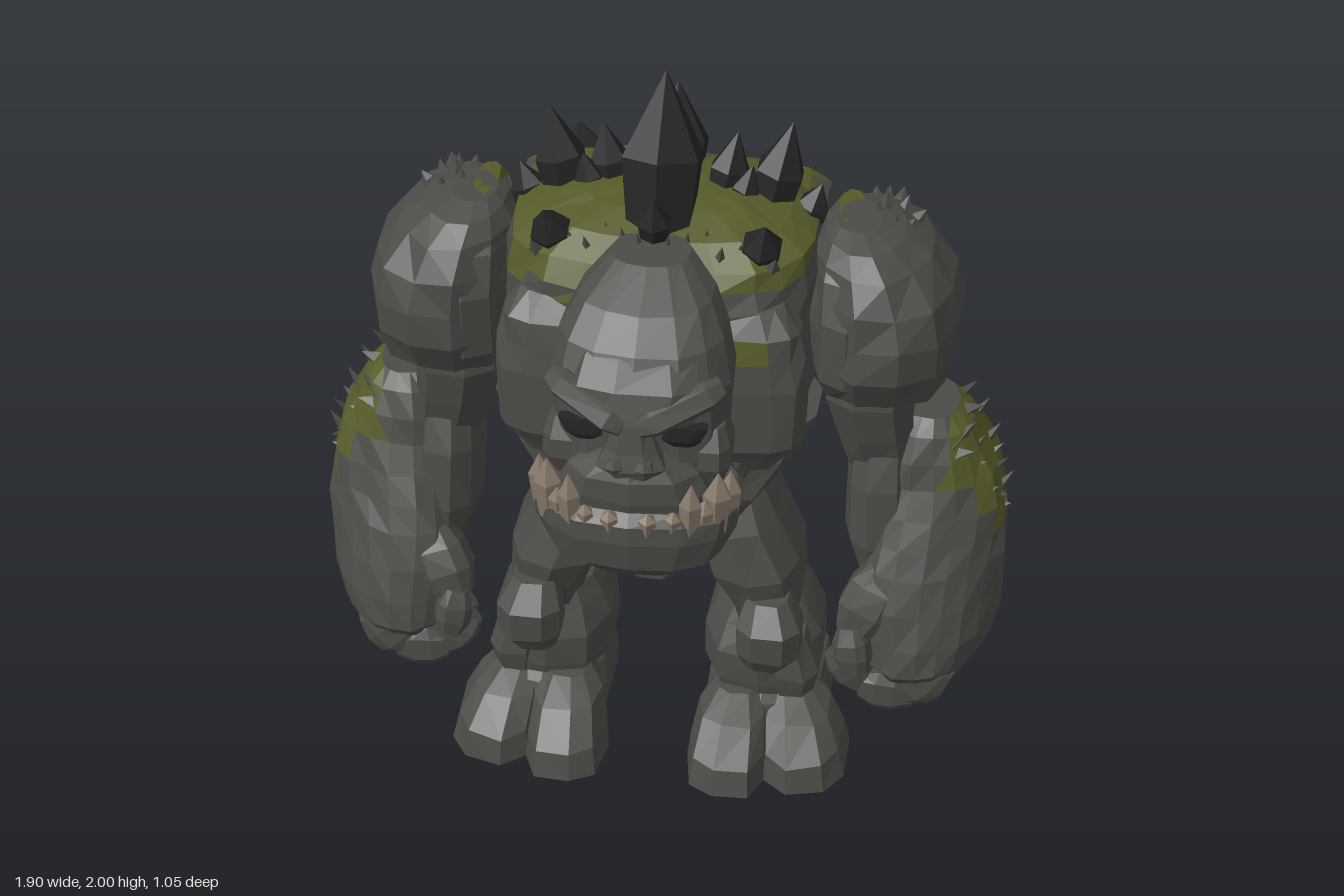
import * as THREE from 'three';

const material = (name, color) => {
  const m = new THREE.MeshStandardMaterial({ color });
  m.name = name;
  return m;
};

export function createModel() {
  const stone = material('stone', 0x4b4c47);
  const moss = material('moss', 0x575a28);
  const crystal = material('dark crystal', 0x242425);
  const bone = material('tooth', 0x867768);
  const shade = material('eye shadow', 0x242423);
  const root = new THREE.Group();
  root.name = 'stoneGolem';

  let seed = 11;
  const rnd = () => ((seed = (seed * 16807) % 2147483647) / 2147483647) * 2 - 1;
  const flat = (g) => {
    const f = g.index ? g.toNonIndexed() : g;
    f.computeVertexNormals();
    return f;
  };

  // Faceted boulder from level rings [x, y, z, rx, rz], listed bottom to top
  function rock(rings, n = 9, e = 0.77, rough = 0.045) {
    const pos = [], idx = [];
    const pw = (v) => Math.sign(v) * Math.abs(v) ** e;
    rings.forEach(([x, y, z, rx, rz], k) => {
      for (let i = 0; i < n; i++) {
        const a = ((i + 0.5) / n) * Math.PI * 2, j = 1 + rnd() * rough;
        const end = k === 0 || k === rings.length - 1;
        const dy = end ? 0 : rnd() * rough * Math.min(rx, rz);
        pos.push(x + rx * pw(Math.cos(a)) * j, y + dy, z + rz * pw(Math.sin(a)) * j);
      }
    });
    const last = rings.length - 1, c0 = rings.length * n;
    pos.push(...rings[0].slice(0, 3), ...rings[last].slice(0, 3));
    for (let i = 0; i < n; i++) {
      const j = (i + 1) % n;
      for (let k = 0; k < last; k++) {
        const a = k * n + i, b = k * n + j;
        idx.push(a, a + n, b, b, a + n, b + n);
      }
      idx.push(c0, i, j, c0 + 1, last * n + j, last * n + i);
    }
    const g = new THREE.BufferGeometry();
    g.setAttribute('position', new THREE.Float32BufferAttribute(pos, 3));
    g.setIndex(idx);
    return flat(g);
  }

  // Move a geometry that points along +y from the origin so it runs from p towards q
  function aim(g, p, q) {
    const d = new THREE.Vector3(...q).sub(new THREE.Vector3(...p)).normalize();
    g.applyQuaternion(new THREE.Quaternion().setFromUnitVectors(new THREE.Vector3(0, 1, 0), d));
    g.translate(...p);
    return flat(g);
  }
  const dist = (p, q) => Math.hypot(q[0] - p[0], q[1] - p[1], q[2] - p[2]);
  // Blocky bar with bevelled ends
  const bar = (p, q, r, r2 = r) => {
    const L = dist(p, q), b = Math.min(r * 0.5, L * 0.25);
    return aim(rock([[0, -b, 0, r * 0.65, r2 * 0.65], [0, b, 0, r, r2],
      [0, L - b, 0, r, r2], [0, L + b, 0, r * 0.65, r2 * 0.65]], 8, 0.65), p, q);
  };
  // Pointed prism
  const shard = (p, q, r, n = 6) => {
    const L = dist(p, q);
    const pts = [[0, -0.05], [r * 0.75, -0.05], [r, L * 0.48], [0, L]];
    return aim(new THREE.LatheGeometry(pts.map((v) => new THREE.Vector2(...v)), n), p, q);
  };
  const spike = (p, q, r) => {
    const L = dist(p, q);
    return aim(new THREE.ConeGeometry(r, L, 4).translate(0, L / 2, 0), p, q);
  };
  // Bend the front of the lower arm inwards
  function toeIn(g) {
    const p = g.attributes.position;
    for (let i = 0; i < p.count; i++) p.setX(i, p.getX(i) - 0.35 * Math.max(0, p.getZ(i) + 0.1));
    return flat(g);
  }

  // Give the faces chosen by test(x, y, z) the moss material
  function mossy(g, test) {
    const p = g.attributes.position;
    for (let i = 0; i < p.count; i += 3) {
      const c = ['getX', 'getY', 'getZ'].map((f) => (p[f](i) + p[f](i + 1) + p[f](i + 2)) / 3);
      const m = test(...c) ? 1 : 0, run = g.groups.at(-1);
      if (run && run.materialIndex === m) run.count += 3;
      else g.addGroup(i, 3, m);
    }
    return g;
  }
  function mirror(g) {
    const m = g.clone(), p = m.attributes.position;
    for (let i = 0; i < p.count; i += 3) {
      const v = [0, 2, 1].map((k) => new THREE.Vector3().fromBufferAttribute(p, i + k));
      v.forEach((u, k) => p.setXYZ(i + k, -u.x, u.y, u.z));
    }
    m.computeVertexNormals();
    return m;
  }
  function add(name, g, mat = stone) {
    const mesh = new THREE.Mesh(g, g.groups.length > 1 ? [stone, moss] : mat);
    mesh.name = name;
    root.add(mesh);
  }
  function pair(name, g, mat) {
    add(name + 'Left', g, mat);
    add(name + 'Right', mirror(g), mat);
  }

  // Torso, mossy over the top and down the middle of each back slab
  const torsoMoss = (x, y, z) => {
    const w = 0.03 * Math.sin(x * 23 + z * 17), ax = Math.abs(x);
    if (z < -0.26) return ax > 0.05 && ax < 0.38 && y > 1.36 + w + Math.abs(ax - 0.2) * 0.8;
    return y > 1.51 + w && ax < 0.385;
  };
  add('torso', mossy(rock([[0, 0.58, 0.05, 0.07, 0.07], [0, 0.68, -0.03, 0.18, 0.15],
    [0, 0.8, -0.05, 0.24, 0.2], [0, 0.93, -0.07, 0.28, 0.28], [0, 1.05, -0.1, 0.37, 0.3],
    [0, 1.2, -0.13, 0.405, 0.33], [0, 1.38, -0.16, 0.41, 0.33], [0, 1.48, -0.16, 0.41, 0.32],
    [0, 1.53, -0.16, 0.405, 0.31], [0, 1.58, -0.16, 0.39, 0.28], [0, 1.63, -0.17, 0.32, 0.22],
    [0, 1.66, -0.17, 0.21, 0.13], [0, 1.67, -0.17, 0.1, 0.06]], 22, 0.68, 0.028), torsoMoss));
  pair('backSlab', mossy(rock([[0.16, 1.0, -0.33, 0.08, 0.06], [0.19, 1.09, -0.35, 0.15, 0.11],
    [0.215, 1.2, -0.36, 0.2, 0.14], [0.22, 1.32, -0.37, 0.215, 0.152], [0.22, 1.42, -0.37, 0.215, 0.145],
    [0.22, 1.5, -0.365, 0.21, 0.135], [0.215, 1.56, -0.355, 0.19, 0.12], [0.21, 1.6, -0.335, 0.15, 0.09],
    [0.2, 1.625, -0.32, 0.08, 0.05]], 16, 0.72), torsoMoss));
  pair('lowerBackSlab', rock([[0.13, 0.82, -0.2, 0.08, 0.07], [0.15, 0.92, -0.25, 0.14, 0.12],
    [0.19, 1.03, -0.28, 0.17, 0.13], [0.2, 1.17, -0.3, 0.15, 0.13]]));
  const chest = rock([[0.2, 1.0, 0.1, 0.13, 0.05], [0.23, 1.1, 0.1, 0.17, 0.1], [0.22, 1.28, 0.1, 0.19, 0.1],
    [0.215, 1.36, 0.095, 0.185, 0.095], [0.21, 1.43, 0.09, 0.18, 0.09], [0.2, 1.49, 0.07, 0.14, 0.06]], 14);
  add('chestSlabRight', mirror(chest));
  add('chestSlabLeft', mossy(chest, (x, y, z) => z > 0.1 && y > 1.36 && y < 1.43 && x > 0.18 && x < 0.31));
  pair('flankSlab', rock([[0.2, 0.8, 0.02, 0.05, 0.09], [0.22, 0.9, 0.02, 0.09, 0.14],
    [0.28, 1.02, 0, 0.11, 0.15], [0.33, 1.12, -0.02, 0.1, 0.14]]));
  add('bellySlab', rock([[0, 0.66, 0.06, 0.1, 0.07], [0, 0.76, 0.08, 0.17, 0.11],
    [0, 0.89, 0.12, 0.21, 0.13], [0, 1.0, 0.14, 0.2, 0.12]]));
  add('groinSlab', rock([[0, 0.585, 0.05, 0.06, 0.06], [0, 0.66, 0.05, 0.13, 0.1], [0, 0.74, 0.06, 0.16, 0.1]]));

  // Head
  add('skull', rock([[0, 1.0, 0.26, 0.18, 0.14], [0, 1.14, 0.27, 0.225, 0.17], [0, 1.28, 0.26, 0.23, 0.17],
    [0, 1.4, 0.25, 0.23, 0.19], [0, 1.5, 0.22, 0.21, 0.165], [0, 1.57, 0.17, 0.17, 0.135],
    [0, 1.635, 0.1, 0.1, 0.08]], 14, 0.82, 0.02));
  add('foreheadPlate', rock([[0, 1.35, 0.39, 0.14, 0.075], [0, 1.43, 0.355, 0.17, 0.085],
    [0, 1.49, 0.31, 0.15, 0.08], [0, 1.53, 0.27, 0.11, 0.06]]));
  add('muzzle', rock([[0, 1.05, 0.36, 0.19, 0.12], [0, 1.13, 0.37, 0.2, 0.125], [0, 1.19, 0.37, 0.17, 0.12],
    [0, 1.25, 0.37, 0.1, 0.09]], 10, 0.85, 0.02));
  add('nose', rock([[0, 1.195, 0.43, 0.07, 0.05], [0, 1.225, 0.435, 0.09, 0.055], [0, 1.27, 0.43, 0.07, 0.045],
    [0, 1.35, 0.41, 0.045, 0.05]], 8));
  pair('nostril', rock([[0.038, 1.22, 0.47, 0.018, 0.018], [0.038, 1.235, 0.475, 0.025, 0.022],
    [0.038, 1.255, 0.47, 0.018, 0.018]], 6));
  add('jaw', rock([[0, 0.885, 0.35, 0.16, 0.12], [0, 0.93, 0.35, 0.23, 0.16], [0, 1.02, 0.345, 0.265, 0.175],
    [0, 1.075, 0.335, 0.275, 0.18], [0, 1.1, 0.33, 0.25, 0.16]], 14, 0.85, 0.025));
  pair('brow', bar([0.03, 1.34, 0.43], [0.195, 1.41, 0.355], 0.04, 0.055));
  pair('cheek', bar([0.185, 1.15, 0.32], [0.185, 1.26, 0.31], 0.055, 0.09));
  pair('eye', rock([[0.12, 1.27, 0.4, 0.035, 0.02], [0.115, 1.29, 0.405, 0.06, 0.026],
    [0.12, 1.33, 0.405, 0.07, 0.022]], 8), shade);
  // Teeth along the jaw rim: angle from the front, height, radius
  [[0.15, 0.035, 0.024], [0.4, 0.04, 0.022], [0.6, 0.12, 0.03], [0.78, 0.06, 0.026], [0.98, 0.13, 0.038],
    [1.25, 0.11, 0.032]].forEach(([a, h, r], i) => {
    const x = 0.25 * Math.sin(a) ** 0.87, z = 0.335 + 0.165 * Math.cos(a);
    pair('tooth' + i, shard([x, 1.075, z], [x * 1.02, 1.08 + h, z + 0.005], r, 5), bone);
  });

  // Shoulders and arms
  pair('shoulder', rock([[0.57, 1.13, -0.13, 0.1, 0.13], [0.575, 1.18, -0.14, 0.18, 0.21],
    [0.575, 1.28, -0.15, 0.205, 0.275], [0.575, 1.38, -0.155, 0.205, 0.285], [0.565, 1.47, -0.155, 0.19, 0.265],
    [0.54, 1.55, -0.155, 0.155, 0.21], [0.515, 1.6, -0.15, 0.105, 0.15], [0.5, 1.62, -0.15, 0.06, 0.08]], 12, 0.97));
  pair('innerShoulder', rock([[0.49, 1.16, -0.15, 0.07, 0.17], [0.495, 1.24, -0.15, 0.1, 0.235],
    [0.495, 1.42, -0.155, 0.1, 0.25], [0.49, 1.52, -0.155, 0.095, 0.205], [0.48, 1.59, -0.15, 0.07, 0.13]], 10));
  pair('shoulderMoss', rock([[0.47, 1.585, -0.2, 0.045, 0.11], [0.475, 1.62, -0.2, 0.03, 0.08]], 9), moss);
  pair('upperArm', rock([[0.59, 0.88, -0.17, 0.1, 0.12], [0.565, 1.0, -0.17, 0.115, 0.16],
    [0.545, 1.12, -0.16, 0.125, 0.18], [0.55, 1.22, -0.16, 0.13, 0.17]]));
  pair('forearm', mossy(toeIn(rock([[0.79, 0.28, -0.02, 0.11, 0.14], [0.79, 0.34, -0.03, 0.145, 0.19],
    [0.785, 0.42, -0.07, 0.165, 0.22], [0.77, 0.52, -0.1, 0.18, 0.225], [0.757, 0.62, -0.14, 0.19, 0.225],
    [0.75, 0.69, -0.17, 0.19, 0.215], [0.745, 0.77, -0.2, 0.185, 0.21], [0.735, 0.85, -0.22, 0.17, 0.2],
    [0.725, 0.92, -0.22, 0.145, 0.18], [0.715, 0.99, -0.21, 0.115, 0.14], [0.71, 1.03, -0.21, 0.08, 0.1]], 20, 0.88, 0.035)),
    (x, y, z) => x > 0.77 && ((y - 0.84) / 0.2) ** 2 + ((z + 0.2) / 0.14) ** 2 < 1.1 + 0.3 * Math.sin(z * 40 + y * 25)));
  pair('innerForearm', rock([[0.61, 0.54, -0.1, 0.06, 0.1], [0.6, 0.66, -0.12, 0.095, 0.14],
    [0.59, 0.84, -0.16, 0.09, 0.16], [0.59, 0.96, -0.17, 0.08, 0.13], [0.59, 1.04, -0.17, 0.055, 0.09]]));
  pair('elbow', rock([[0.7, 0.72, -0.33, 0.07, 0.05], [0.7, 0.83, -0.35, 0.1, 0.08], [0.69, 0.95, -0.32, 0.07, 0.07]], 8));
  for (let i = 0; i < 4; i++) {
    const z = 0.095 - i * 0.08, up = Math.abs(i - 1.3) * 0.012;
    pair('fingerBase' + i, toeIn(bar([0.85, 0.33, z], [0.775, 0.245 + up, z], 0.075, 0.044)));
    pair('fingerMiddle' + i, toeIn(bar([0.78, 0.23 + up, z], [0.68, 0.24 + up, z], 0.068, 0.043)));
    pair('fingerTip' + i, toeIn(bar([0.65, 0.26 + up, z], [0.59, 0.34 + up, z], 0.05, 0.042)));
  }
  pair('thumbBase', bar([0.62, 0.58, 0.02], [0.565, 0.46, 0.07], 0.07, 0.075));
  pair('thumbTip', bar([0.55, 0.44, 0.1], [0.565, 0.35, 0.12], 0.05));

  // Legs
  pair('thigh', rock([[0.3, 0.4, -0.06, 0.09, 0.14], [0.3, 0.5, -0.05, 0.112, 0.19], [0.265, 0.62, -0.05, 0.135, 0.21],
    [0.21, 0.76, -0.06, 0.12, 0.2], [0.19, 0.86, -0.07, 0.09, 0.14]], 10));
  pair('knee', rock([[0.32, 0.34, 0.13, 0.06, 0.06], [0.33, 0.4, 0.14, 0.09, 0.09],
    [0.33, 0.49, 0.14, 0.09, 0.09], [0.32, 0.56, 0.11, 0.06, 0.06]], 8));
  pair('shin', rock([[0.3, 0.14, -0.09, 0.14, 0.2], [0.3, 0.22, -0.1, 0.17, 0.225],
    [0.297, 0.33, -0.1, 0.17, 0.225], [0.285, 0.4, -0.1, 0.135, 0.2], [0.285, 0.45, -0.09, 0.1, 0.16]], 10, 0.84));
  pair('shinPlate', rock([[0.39, 0.17, 0.02, 0.06, 0.09], [0.39, 0.26, 0.02, 0.078, 0.11], [0.37, 0.38, 0.02, 0.05, 0.09]], 8));
  pair('foot', rock([[0.315, 0, -0.08, 0.18, 0.255], [0.315, 0.09, -0.08, 0.18, 0.255], [0.31, 0.17, -0.09, 0.165, 0.23],
    [0.31, 0.2, -0.08, 0.14, 0.18]], 10, 0.86));
  pair('innerToe', rock([[0.23, 0, 0.18, 0.115, 0.165], [0.23, 0.08, 0.17, 0.11, 0.155], [0.235, 0.16, 0.11, 0.095, 0.12],
    [0.24, 0.205, 0.06, 0.06, 0.08]]));
  pair('outerToe', rock([[0.435, 0, 0.13, 0.125, 0.17], [0.43, 0.08, 0.125, 0.115, 0.16], [0.41, 0.15, 0.08, 0.095, 0.11],
    [0.39, 0.19, 0.04, 0.06, 0.07]]));

  // Crystals on the back
  add('mainCrystal', shard([0, 1.6, -0.04], [0, 2, -0.16], 0.112), crystal);
  add('rearCrystal', shard([0, 1.58, -0.27], [0, 1.84, -0.385], 0.095), crystal);
  add('frontCrystal', shard([0, 1.62, 0.03], [0, 1.76, 0.07], 0.045), crystal);
  [[[0.26, 1.57, -0.2], [0.315, 1.83, -0.24], 0.068], [[0.14, 1.6, -0.2], [0.175, 1.79, -0.24], 0.055],
    [[0.35, 1.54, -0.2], [0.395, 1.66, -0.23], 0.05], [[0.26, 1.56, 0], [0.28, 1.7, 0.06], 0.055],
    [[0.25, 1.52, -0.4], [0.28, 1.64, -0.48], 0.075], [[0.19, 1.6, -0.18], [0.22, 1.73, -0.18], 0.04],
  ].forEach(([p, q, r], i) => pair('sideCrystal' + i, shard(p, q, r), crystal));

  // Small stone shards on the shoulders
  for (let i = 0; i < 14; i++) {
    const a = i * 2.4, r = 0.024 * Math.sqrt(i), x = 0.56 + 0.8 * r * Math.cos(a), z = -0.22 + 1.1 * r * Math.sin(a);
    const h = 0.12 - r * 0.9;
    pair('shoulderShard' + i, shard([x, 1.55, z], [x + (x - 0.555) * 0.5, 1.55 + h, z + (z + 0.22) * 0.6], 0.02, 5));
  }
  // Moss tufts on the forearms and neck
  for (let i = 0; i < 22; i++) {
    const y = 0.69 + 0.015 * i, z = -0.2 + 0.11 * rnd();
    const x = 0.925 - Math.max(0, y - 0.74) * 0.38 - Math.abs(z + 0.2) * 0.35;
    pair('mossTuft' + i, spike([x - 0.03, y - 0.01, z], [x + 0.03, y + 0.04 * (i % 4) - 0.03, z + rnd() * 0.05], 0.03), moss);
  }
  for (let i = 0; i < 7; i++) {
    const x = 0.03 + 0.045 * i, z = 0.06 - 0.03 * (i % 3);
    pair('neckTuft' + i, spike([x, 1.58, z], [x + 0.01, 1.67 - 0.008 * i, z + 0.02], 0.02), moss);
  }
  return root;
}
